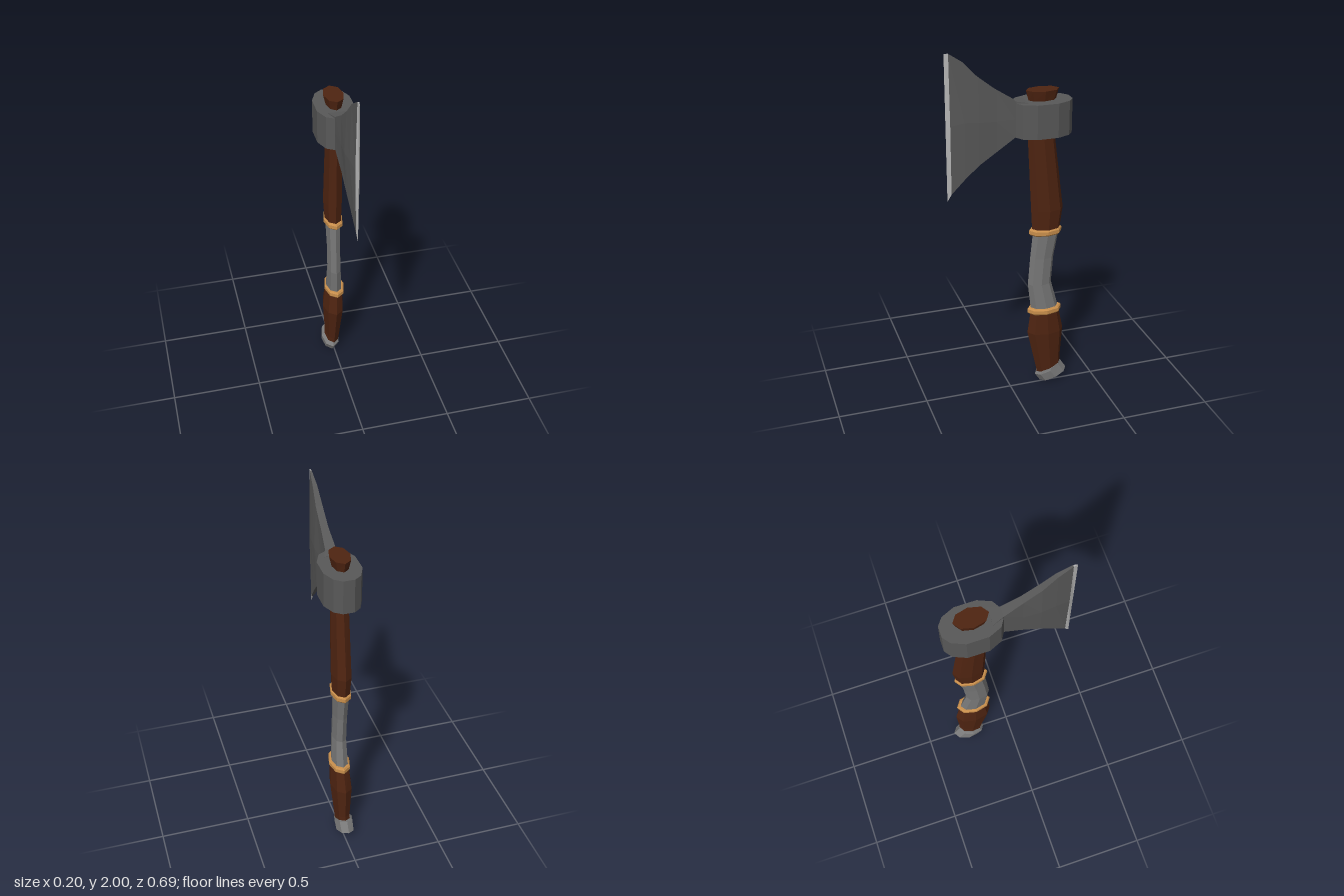
import * as THREE from 'three';

const mat = (color) => new THREE.MeshStandardMaterial({ color, flatShading: true, roughness: 0.8 });
const WOOD = mat(0x4f2411), STEEL = mat(0x585858), EDGE = mat(0xb4b4b4), WRAP = mat(0x767676), GOLD = mat(0xc98f4c);

// Closed skin over rings of points, each ring counter-clockwise seen from the last one
function loft(name, rings, material) {
  const n = rings[0].length, pos = [], index = [];
  rings.forEach((r) => r.forEach((p) => pos.push(...p)));
  for (let k = 0; k < rings.length - 1; k++) {
    for (let i = 0; i < n; i++) {
      const a = k * n + i, b = k * n + (i + 1) % n;
      index.push(a, b, b + n, a, b + n, a + n);
    }
  }
  const last = (rings.length - 1) * n;
  for (let i = 1; i < n - 1; i++) index.push(0, i + 1, i, last, last + i, last + i + 1);
  const g = new THREE.BufferGeometry();
  g.setAttribute('position', new THREE.Float32BufferAttribute(pos, 3));
  g.setIndex(index);
  const flat = g.toNonIndexed();
  flat.computeVertexNormals();
  const mesh = new THREE.Mesh(flat, material);
  mesh.name = name;
  return mesh;
}

// Eight-sided oval ring, given its front point, back point, half width and x centre
function oval([yF, zF, yB, zB, rx, xc = 0]) {
  return Array.from({ length: 8 }, (_, i) => {
    const a = (i * Math.PI) / 4, t = (1 - Math.cos(a)) / 2;
    return [xc + rx * Math.sin(a), yF + (yB - yF) * t, zF + (zB - zF) * t];
  });
}
const shaft = (name, rows, material) => loft(name, rows.map(oval), material);

// Six-sided blade section: z, bottom, top, half width at the rims, half width in the middle
const bladeSection = ([z, bot, top, t, m]) => {
  const mid = (bot + top) / 2;
  return [[m, mid, z], [t, top, z], [-t, top, z], [-m, mid, z], [-t, bot, z], [t, bot, z]];
};

export function createModel() {
  const axe = new THREE.Group();
  axe.name = 'axe';

  // Pommel, tilted toward the back
  axe.add(shaft('pommel', [
    [0.0, -0.185, 0.06, -0.345, 0.05, -0.013],
    [0.045, -0.155, 0.115, -0.31, 0.053, -0.013],
    [0.07, -0.165, 0.125, -0.305, 0.046, -0.008],
  ], STEEL.clone()));
  axe.getObjectByName('pommel').material.color.set(0x7c7c7c);

  // Curved wooden handle in two lengths with a wrapped grip between
  axe.add(shaft('lowerHandle', [
    [0.06, -0.165, 0.115, -0.305, 0.043, -0.007],
    [0.1, -0.157, 0.15, -0.303, 0.043, -0.004],
    [0.34, -0.103, 0.34, -0.315, 0.06, -0.002],
    [0.48, -0.12, 0.48, -0.285, 0.05, 0.003],
  ], WOOD));
  axe.add(shaft('gripWrap', [
    [0.48, -0.122, 0.48, -0.285, 0.046, 0.003],
    [0.65, -0.103, 0.65, -0.24, 0.039, -0.002],
    [0.81, -0.115, 0.81, -0.252, 0.038, -0.002],
    [0.97, -0.13, 0.97, -0.28, 0.043, 0],
  ], WRAP));
  axe.add(shaft('upperHandle', [
    [0.97, -0.125, 0.97, -0.283, 0.046],
    [1.1, -0.118, 1.1, -0.3, 0.053],
    [1.53, -0.095, 1.53, -0.245, 0.047],
    [1.72, -0.098, 1.72, -0.25, 0.041],
    [1.775, -0.083, 1.775, -0.265, 0.054],
  ], WOOD));

  // Bevelled bands at both ends of the grip
  for (const [name, y, zF, zB, rx, xc] of [
    ['lowerBand', 0.485, -0.1, -0.3, 0.058, 0.004],
    ['upperBand', 0.97, -0.107, -0.295, 0.054, 0],
  ]) {
    axe.add(shaft(name, [[-0.018, 0.007], [-0.01, 0], [0.01, 0], [0.018, 0.007]].map(
      ([dy, inset]) => [y + dy, zF - inset, y + dy, zB + inset, rx - inset, xc]), GOLD));
  }

  // Collar around the handle
  const half = [[0.028, -0.02], [0.07, -0.045], [0.1, -0.115], [0.1, -0.23], [0.07, -0.3], [0.03, -0.33]];
  const outline = [...half, ...half.map(([x, z]) => [-x, z]).reverse()];
  axe.add(loft('collar', [1.535, 1.72].map((y) => outline.map(([x, z]) => [x, y, z])), STEEL));

  // Flaring blade and its bright cutting edge
  axe.add(loft('blade', [
    [-0.08, 1.537, 1.722, 0.05, 0.05],
    [-0.02, 1.537, 1.73, 0.028, 0.028],
    [0.08, 1.465, 1.795, 0.02, 0.023],
    [0.175, 1.4, 1.87, 0.018, 0.028],
    [0.25, 1.33, 1.95, 0.012, 0.022],
    [0.325, 1.25, 2.0, 0.005, 0.012],
  ].map(bladeSection), STEEL));
  axe.add(loft('cuttingEdge', [
    [0.325, 1.25, 2.0, 0.005, 0.012],
    [0.347, 1.21, 2.0, 0.0005, 0.0005],
  ].map(bladeSection), EDGE));

  return axe;
}
